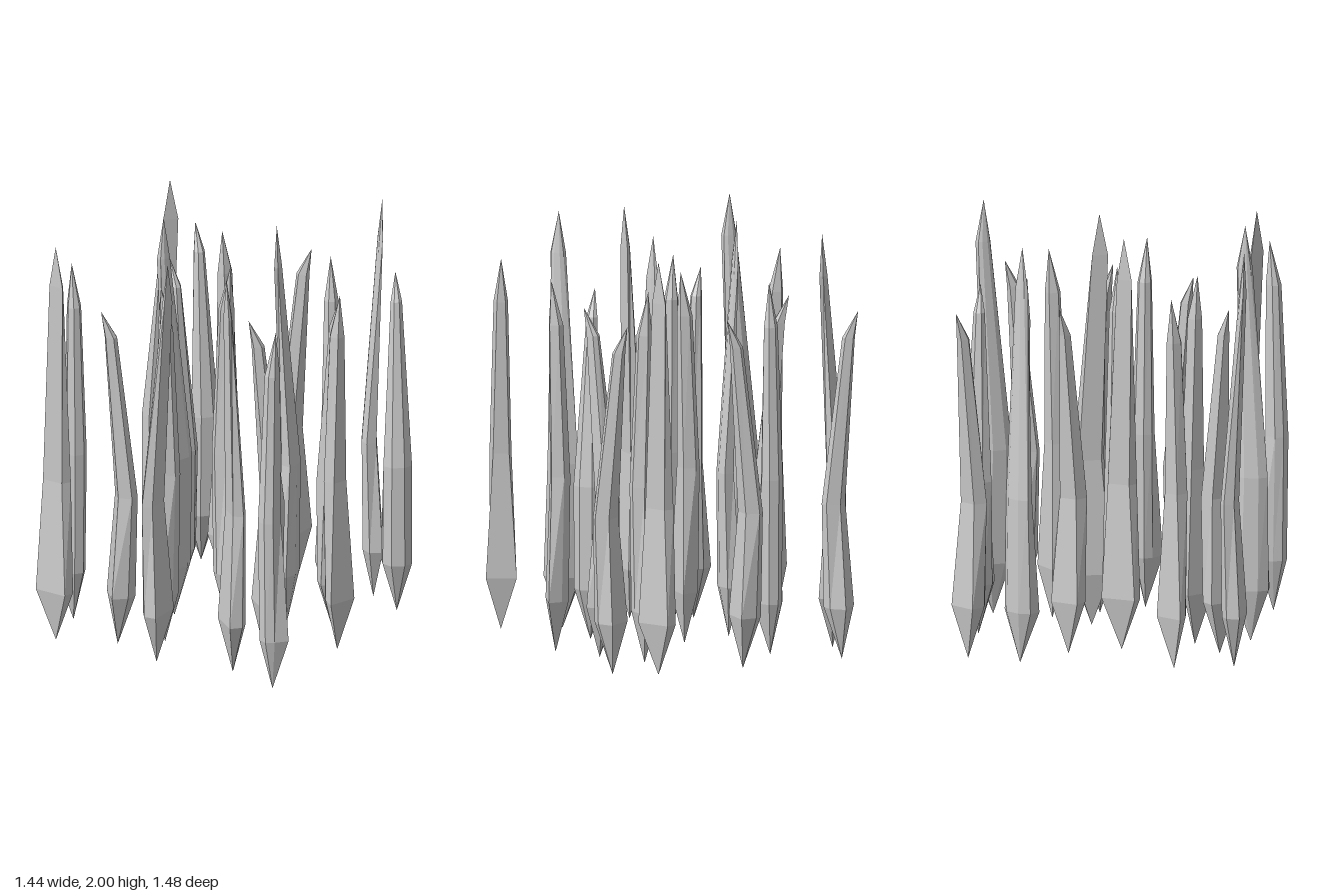
import * as THREE from 'three';

// Each ring: [height, front x, front half width, side half width, back x, sideways shift]
// Local +x is the flat front of a shard; the tip leans towards it.
const KINDS = {
  leaningShard: {
    foot: [0, 0, 0],
    rings: [
      [0.25, 0.04, 0.072, 0.07, -0.08, 0],
      [0.75, 0.005, 0.045, 0.068, -0.09, 0],
      [1.55, 0.06, 0.015, 0.027, 0.005, 0],
    ],
    tip: [0.08, 1.68, 0],
    // [x, z, heading in degrees]
    places: [
      [-0.53, -0.65, -140], [-0.01, -0.66, 0], [0.61, -0.535, -125], [-0.38, -0.19, -155],
      [0.495, -0.14, 45], [0.355, 0.265, 130], [-0.3, 0.52, 140],
    ],
  },
  tallShard: {
    foot: [0, 0, 0],
    rings: [
      [0.25, 0.045, 0.085, 0.088, -0.05, 0],
      [0.8, 0.015, 0.055, 0.075, -0.055, 0.01],
      [1.8, 0.045, 0.038, 0.03, 0.02, -0.033],
    ],
    tip: [0.043, 2, -0.03],
    places: [
      [-0.6, -0.395, 40], [0.235, -0.15, 164], [-0.265, 0.05, 197], [0.36, 0.57, 130],
      [-0.58, 0.62, 96], [-0.02, 0.635, 0], [0.42, -0.64, -30],
    ],
  },
  straightShard: {
    foot: [-0.04, 0, 0],
    rings: [
      [0.25, 0, 0.073, 0.05, -0.1, 0],
      [0.85, -0.018, 0.038, 0.052, -0.108, 0],
      [1.58, -0.01, 0.02, 0.034, -0.075, 0],
    ],
    tip: [-0.02, 1.79, 0],
    places: [
      [-0.27, -0.38, 99], [0.335, -0.383, -126], [0.03, -0.003, 0], [0.67, 0.073, 19],
      [-0.68, 0.32, -146], [-0.15, 0.41, 135], [0.65, 0.632, -68],
    ],
  },
};

// D-shaped six-sided section
function section([y, front, corner, side, back, shift]) {
  const mid = front * 0.35 + back * 0.65;
  return [
    [front, -corner], [front, corner], [mid, side],
    [back, side * 0.45], [back, -side * 0.45], [mid, -side],
  ].map(([x, z]) => [x, y, z + shift]);
}

// Faceted shard: pointed foot, stacked sections, pointed tip
function shardGeometry({ foot, rings, tip }) {
  const loops = rings.map(section);
  const last = loops.length - 1;
  const out = [];
  for (let i = 0; i < 6; i++) {
    const j = (i + 1) % 6;
    out.push(foot, loops[0][i], loops[0][j]);
    for (let r = 0; r < last; r++) {
      const lo = loops[r], hi = loops[r + 1];
      out.push(lo[j], lo[i], hi[i], lo[j], hi[i], hi[j]);
    }
    out.push(loops[last][j], loops[last][i], tip);
  }
  const geometry = new THREE.BufferGeometry();
  geometry.setAttribute('position', new THREE.Float32BufferAttribute(out.flat(), 3));
  geometry.computeVertexNormals();
  return geometry;
}

export function createModel() {
  const model = new THREE.Group();
  model.name = 'crystalField';
  const material = new THREE.MeshStandardMaterial({ color: 0xcccccc, flatShading: true });

  // Seven turned copies of each kind of shard
  for (const [name, kind] of Object.entries(KINDS)) {
    const geometry = shardGeometry(kind);
    for (const [x, z, heading] of kind.places) {
      const shard = new THREE.Mesh(geometry, material);
      shard.name = name;
      shard.position.set(x, 0, z);
      shard.rotation.y = -THREE.MathUtils.degToRad(heading);
      model.add(shard);
    }
  }
  return model;
}
